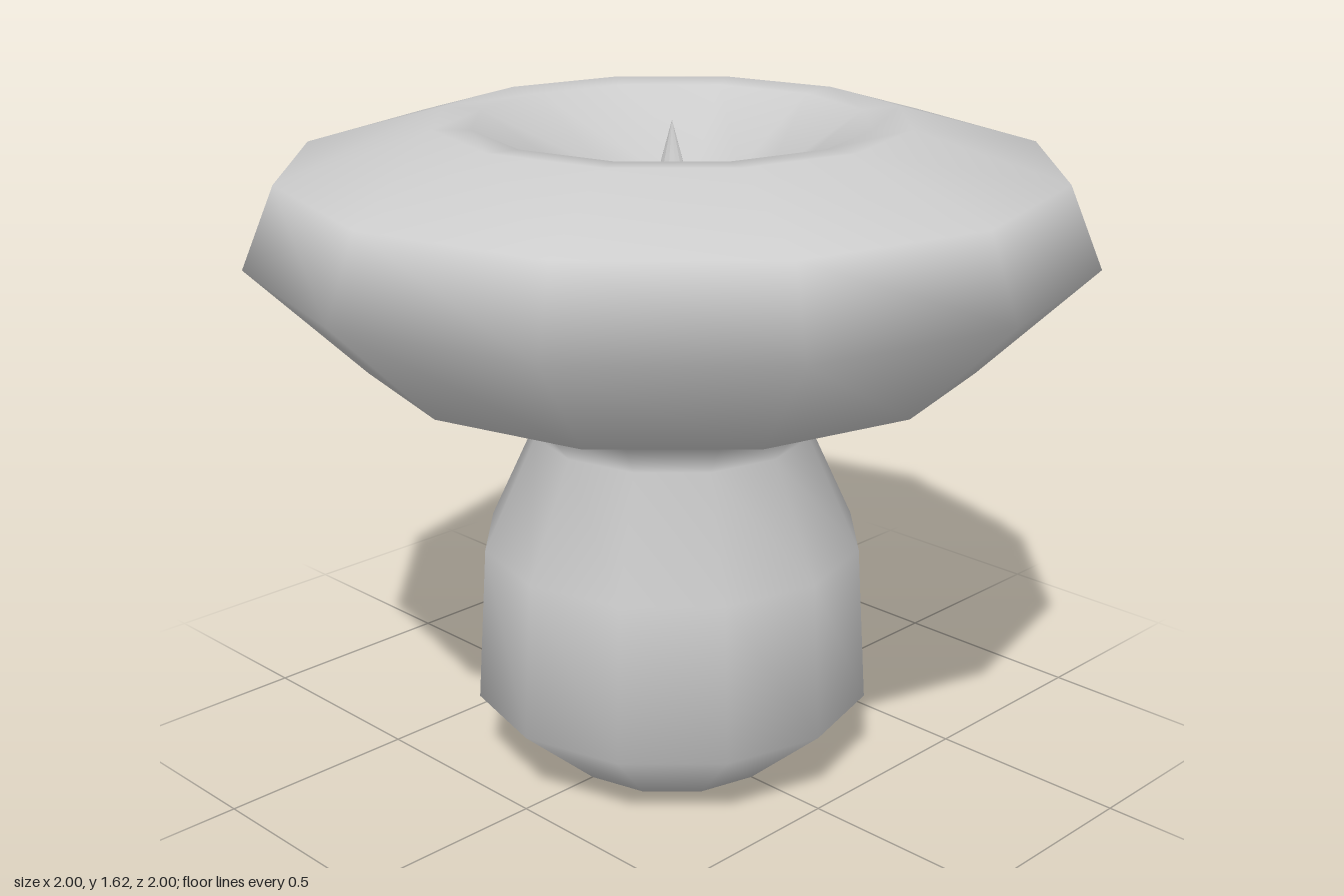
import * as THREE from 'three';

const SIDES = 12;

export function createModel() {
  const group = new THREE.Group();
  group.name = 'mushroom';
  const material = new THREE.MeshStandardMaterial({ color: 0xcccccc });

  // One continuous turned profile, as [radius, height] from base to centre spike
  const profile = [
    // bulging stem
    [0, 0], [0.28, 0], [0.495, 0.19], [0.47, 0.58], [0.34, 0.86],
    // flared cap
    [0.41, 0.945], [0.73, 1.055], [1, 1.32], [0.92, 1.51], [0.56, 1.615],
    // funnel in the cap, with a thin spike rising from its bottom
    [0.47, 1.61], [0.23, 1.46], [0.12, 1.17], [0, 1.61],
  ].map(([r, y]) => new THREE.Vector2(r, y));

  const body = new THREE.Mesh(new THREE.LatheGeometry(profile, SIDES), material);
  body.name = 'stemAndCap';
  group.add(body);

  return group;
}
